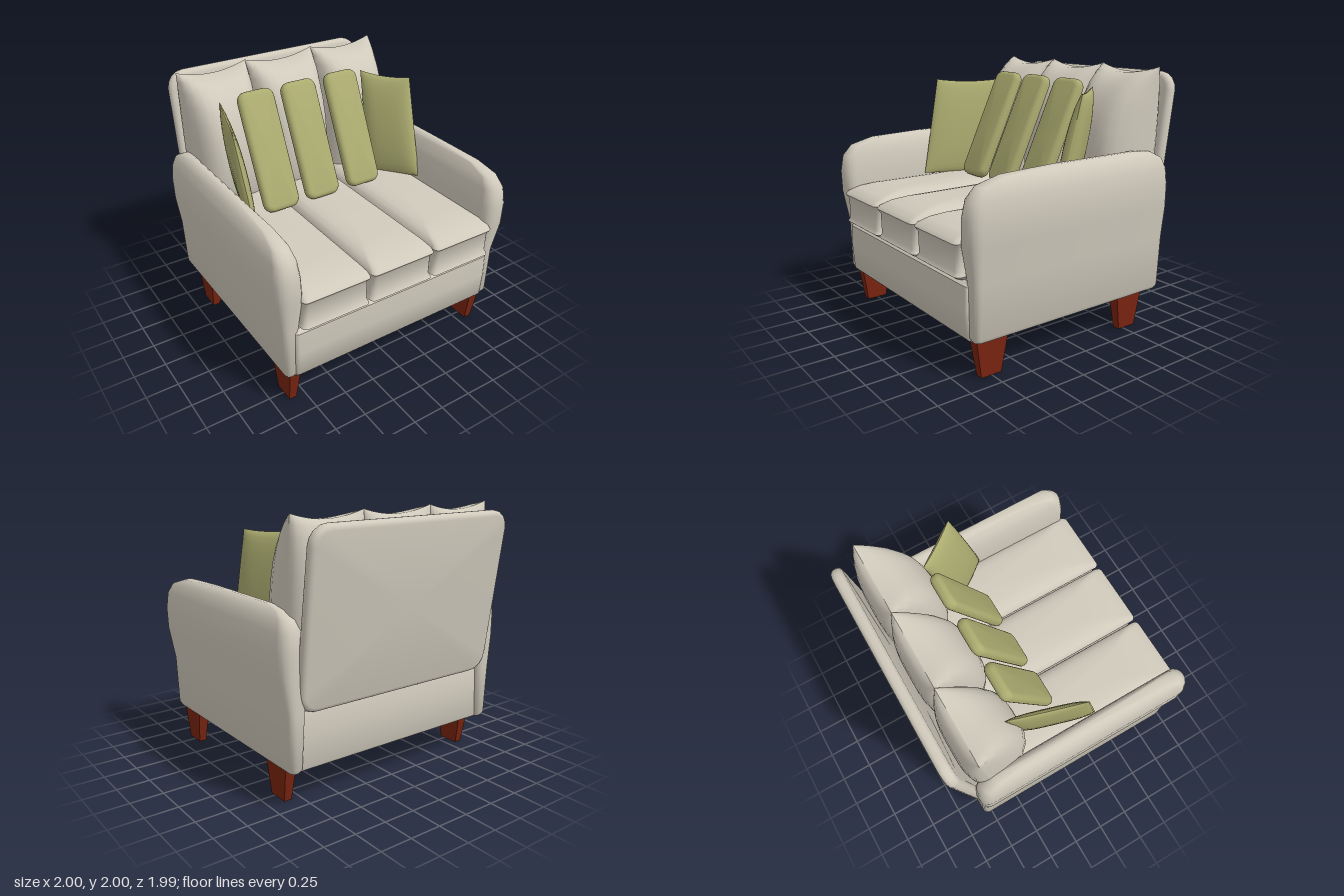
import * as THREE from 'three';
import { toCreasedNormals } from 'three/addons/utils/BufferGeometryUtils.js';

const mat = (name, color, side = THREE.FrontSide) => {
  const m = new THREE.MeshStandardMaterial({ color, side });
  m.name = name;
  return m;
};

// Closed loft of rounded-rectangle rings; row = [y, x0, x1, z0, z1, cornerRadius]
function loft(rows, crease = 0.75) {
  const per = 5, n = per * 4, pos = [], idx = [];
  rows.forEach(([y, x0, x1, z0, z1, radius]) => {
    const r = Math.min(radius, (x1 - x0) / 2.02, (z1 - z0) / 2.02);
    [[x1 - r, z1 - r], [x0 + r, z1 - r], [x0 + r, z0 + r], [x1 - r, z0 + r]].forEach(([cx, cz], q) => {
      for (let k = 0; k < per; k++) {
        const a = (q + k / (per - 1)) * Math.PI / 2;
        pos.push(cx + r * Math.cos(a), y, cz + r * Math.sin(a));
      }
    });
  });
  const last = rows.length - 1, base = rows.length * n;
  [rows[0], rows[last]].forEach(([y, x0, x1, z0, z1]) => pos.push((x0 + x1) / 2, y, (z0 + z1) / 2));
  for (let j = 0; j < n; j++) {
    const k = (j + 1) % n;
    for (let i = 0; i < last; i++) {
      const a = i * n + j, b = i * n + k;
      idx.push(a, a + n, b, b, a + n, b + n);
    }
    idx.push(base, j, k, base + 1, last * n + k, last * n + j);
  }
  const g = new THREE.BufferGeometry();
  g.setAttribute('position', new THREE.Float32BufferAttribute(pos, 3));
  g.setIndex(idx);
  return toCreasedNormals(g, crease);
}

// Padded slab: rounded outline of radius r, rounded rim of size e, centred
function softBox(w, h, d, r, e) {
  const rows = [];
  for (const s of [-1, 1]) {
    for (let k = 0; k <= 4; k++) {
      const a = (s < 0 ? 4 - k : k) / 4 * Math.PI / 2;
      const inset = e * (1 - Math.cos(a));
      rows.push([s * (h / 2 - e + e * Math.sin(a)), inset - w / 2, w / 2 - inset,
        inset - d / 2, d / 2 - inset, Math.max(r - inset, 0.01)]);
    }
  }
  return loft(rows);
}

// Pinched pillow sheets stretched between four corners, puffed along the normal
function pillow(name, material, [bl, br, tl, tr], front, back, sag = 0) {
  const [A, B, C, D] = [bl, br, tl, tr].map(c => new THREE.Vector3(...c));
  const normal = B.clone().sub(A).cross(C.clone().sub(A)).normalize();
  const up = C.clone().sub(A).normalize();
  const group = new THREE.Group();
  group.name = name;
  for (const [side, depth] of [[1, front], [-1, back]]) {
    const g = new THREE.PlaneGeometry(2, 2, 14, 14), p = g.attributes.position;
    for (let i = 0; i < p.count; i++) {
      const u = side * Math.sin(p.getX(i) * Math.PI / 2), v = Math.sin(p.getY(i) * Math.PI / 2);
      const low = A.clone().lerp(B, (u + 1) / 2), high = C.clone().lerp(D, (u + 1) / 2);
      const puff = Math.sqrt(Math.max(0, (1 - u ** 4) * (1 - v * v)));
      low.lerp(high, (v + 1) / 2).addScaledVector(normal, side * depth * puff);
      low.addScaledVector(up, -sag * (1 - u * u) * Math.max(0, v) ** 3);
      p.setXYZ(i, low.x, low.y, low.z);
    }
    g.computeVertexNormals();
    const m = new THREE.Mesh(g, material);
    m.name = side > 0 ? name + 'Front' : name + 'Back';
    group.add(m);
  }
  return group;
}

export function createModel() {
  const cream = mat('creamFabric', 0xd0cabc);
  const green = mat('greenFabric', 0xabab70);
  const wood = mat('redWood', 0x7a2411);
  const model = new THREE.Group();
  model.name = 'sofa';
  const add = (name, geometry, material, x = 0, y = 0, z = 0) => {
    const m = new THREE.Mesh(geometry, material);
    m.name = name;
    m.position.set(x, y, z);
    model.add(m);
    return m;
  };

  // Base frame
  add('base', loft([
    [0.28, -0.87, 0.87, -0.78, 0.91, 0.03],
    [0.30, -0.87, 0.87, -0.79, 0.93, 0.03],
    [0.50, -0.87, 0.87, -0.79, 0.945, 0.03],
    [0.67, -0.87, 0.87, -0.79, 0.94, 0.03],
    [0.70, -0.86, 0.86, -0.78, 0.91, 0.03],
  ]), cream);

  // Rounded arms, mirrored by swapping the x limits
  const armRows = [
    [0.28, 0.85, 0.925, -0.80, 0.90, 0.04],
    [0.31, 0.84, 0.94, -0.82, 0.92, 0.04],
    [0.70, 0.82, 0.955, -0.83, 0.925, 0.05],
    [0.95, 0.80, 0.993, -0.83, 0.965, 0.07],
    [1.12, 0.805, 1.0, -0.83, 0.97, 0.08],
    [1.25, 0.82, 0.99, -0.82, 0.95, 0.08],
    [1.33, 0.84, 0.968, -0.78, 0.88, 0.07],
    [1.38, 0.862, 0.94, -0.68, 0.70, 0.05],
    [1.40, 0.885, 0.915, -0.52, 0.25, 0.02],
  ];
  add('leftArm', loft(armRows, 0.9), cream);
  add('rightArm', loft(armRows.map(([y, a, b, ...rest]) => [y, -b, -a, ...rest]), 0.9), cream);

  // Leaning back panel
  add('backPanel', softBox(1.76, 0.09, 1.27, 0.14, 0.04), cream, 0, 1.32, -0.87).rotation.x = 1.435;

  // Seat cushions with a raised rim and a domed top; each row is [y, side inset, front z]
  const seatRows = [[0.70, 0.03, 0.95], [0.73, 0, 0.99], [0.76, 0.012, 0.972], [0.92, 0.012, 0.975],
    [0.955, 0, 0.998], [0.98, 0.008, 0.98], [1.01, 0.03, 0.90], [1.03, 0.07, 0.80], [1.04, 0.12, 0.70]];
  for (const x of [-0.56, 0, 0.56]) {
    add('seatCushion', loft(seatRows.map(([y, i, z]) => [y, i - 0.275, 0.275 - i, -0.74, z, 0.04])), cream, x);
  }

  // Back cushions
  for (const [a, b] of [[-0.875, -0.295], [-0.3, 0.31], [0.305, 0.895]]) {
    model.add(pillow('backCushion', cream,
      [[a, 0.72, -0.64], [b, 0.72, -0.64], [a, 2, -0.76], [b, 2, -0.76]], 0.38, 0.14, 0.05));
  }

  // Three slim pillows leaning on the back
  for (const x of [-0.42, -0.05, 0.34]) {
    add('slimPillow', softBox(0.30, 0.09, 0.93, 0.07, 0.04), green, x, 1.47, -0.19).rotation.x = 1.135;
  }

  // Pillows leaning on the arms
  model.add(pillow('rightArmPillow', green,
    [[-0.78, 1.04, 0.27], [-0.61, 1.03, -0.30], [-0.84, 1.83, 0.09], [-0.67, 1.82, -0.46]], 0.05, 0.05, 0.02));
  model.add(pillow('leftArmPillow', green,
    [[0.55, 1.03, -0.21], [0.81, 1.04, 0.14], [0.57, 1.85, -0.40], [0.82, 1.84, -0.07]], 0.07, 0.07, 0.02));

  // Tapered legs
  for (const x of [-0.85, 0.85]) {
    for (const z of [0.752, -0.54]) {
      const g = new THREE.BoxGeometry(0.09, 0.29, 0.26), p = g.attributes.position;
      for (let i = 0; i < p.count; i++) {
        if (p.getY(i) < 0) p.setXYZ(i, p.getX(i) * 0.66, p.getY(i), p.getZ(i) * 0.63);
      }
      g.computeVertexNormals();
      add('leg', g, wood, x, 0.145, z);
    }
  }
  return model;
}
